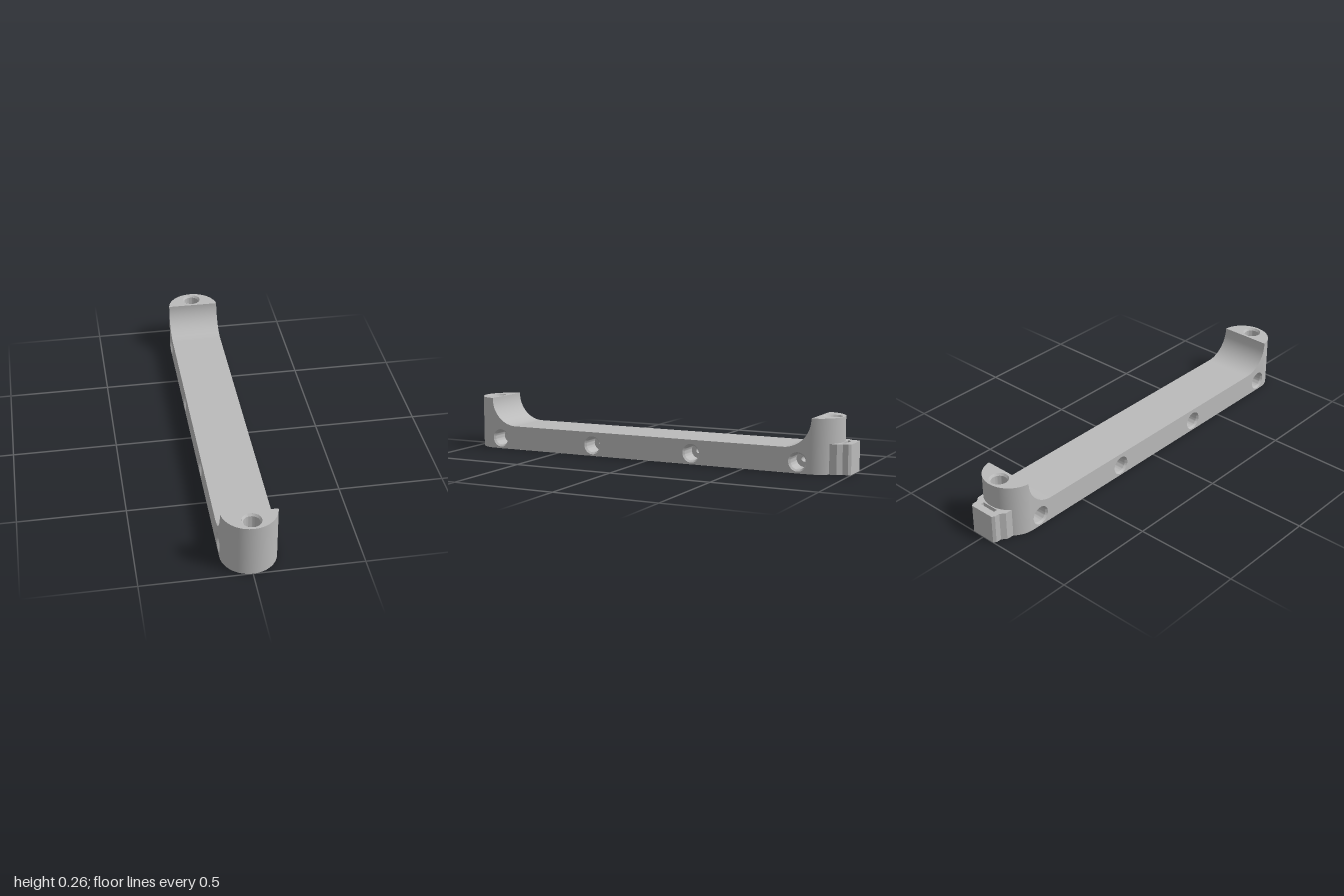
import * as THREE from 'three';
import { toCreasedNormals } from 'three/addons/utils/BufferGeometryUtils.js';

const R = 0.128;                 // half width and end radius
const H = 0.256, FLOOR = 0.118;  // post height and bar height
const FRONT = 0.872, BACK = -0.817; // centres of the rounded ends
const LIP = 0.013;               // post faces sit this far past the end centres
const FILLET = 0.134;
const HOLE = 0.045;
const SCREW = 0.071;             // vertical hole offset from the end centre
const SIDE_HOLES = [0.838, 0.303, -0.233, -0.767];
const SIDE_Y = 0.053;

// half width of the bar at a given z
function halfWidth(z) {
  const d = Math.max(z - FRONT, BACK - z, 0);
  return Math.sqrt(Math.max(R * R - d * d, 0));
}

function circleHole(x, y) {
  const p = new THREE.Path();
  p.absarc(x, y, HOLE, 0, Math.PI * 2, true);
  return p;
}

// [z, y] points over the saddle: back post, fillet, floor, fillet, front post
function saddleProfile() {
  const zb = BACK - LIP, zf = FRONT + LIP, n = 20;
  const back = [[zb, H]], front = [[zf, H]];
  for (let i = 0; i <= n; i++) {
    const a = (i / n) * Math.PI / 2;
    const dz = FILLET * (1 - Math.cos(a)), y = FLOOR + FILLET * (1 - Math.sin(a));
    back.push([zb + dz, y]);
    front.push([zf - dz, y]);
  }
  return back.concat(front.reverse());
}

function saddleGeometry(profile) {
  const pos = [], idx = [];
  profile.forEach(([z, y], i) => {
    const w = halfWidth(z);
    pos.push(-w, y, z, w, y, z);
    if (i) {
      const a = 2 * i - 2;
      idx.push(a, a + 2, a + 1, a + 1, a + 2, a + 3);
    }
  });
  const g = new THREE.BufferGeometry();
  g.setAttribute('position', new THREE.Float32BufferAttribute(pos, 3));
  g.setIndex(idx);
  g.computeVertexNormals();
  return g;
}

// side wall with its four openings, bent slightly where it meets the ends
function wallGeometry(profile, side) {
  const pts = [
    [BACK - LIP, 0], ...profile, [FRONT + LIP, 0], [FRONT, 0], [BACK, 0],
  ].map(([z, y]) => new THREE.Vector2(-side * z, y));
  const shape = new THREE.Shape(pts);
  SIDE_HOLES.forEach(z => shape.holes.push(circleHole(-side * z, SIDE_Y)));
  const g = new THREE.ShapeGeometry(shape, 20);
  g.rotateY(side * Math.PI / 2);
  const p = g.attributes.position;
  for (let i = 0; i < p.count; i++) p.setX(i, side * halfWidth(p.getZ(i)));
  return g;
}

// stepped recess narrowing to a pin hole, opening upward at y = 0
function pocketGeometry() {
  const pts = [[HOLE, 0], [0.037, -0.01], [0.037, -0.09], [0.013, -0.09], [0.013, -R]]
    .map(([x, y]) => new THREE.Vector2(x, y));
  return toCreasedNormals(new THREE.LatheGeometry(pts, 40), 0.5);
}

// plan of the clip, wrapped around the back end, with a strap slot
function clipGeometry() {
  const outline = [[0.09, 0.94], [0.072, 0.962], [0.072, 0.988], [0.062, 1]];
  const pts = outline.map(([x, y]) => new THREE.Vector2(x, y));
  outline.slice().reverse().forEach(([x, y]) => pts.push(new THREE.Vector2(-x, y)));
  const a = Math.asin(0.092 / R);
  for (let i = 0; i <= 16; i++) {
    const t = -a + (2 * a * i) / 16;
    pts.push(new THREE.Vector2(R * Math.sin(t), -BACK + R * Math.cos(t)));
  }
  const shape = new THREE.Shape(pts);
  const w = 0.043;
  shape.holes.push(new THREE.Path([[-w, 0.949], [-w, 0.966], [w, 0.966], [w, 0.949]]
    .map(([x, y]) => new THREE.Vector2(x, y))));
  const g = new THREE.ExtrudeGeometry(shape, { depth: 0.14, bevelEnabled: false });
  g.rotateX(-Math.PI / 2);
  return g;
}

export function createModel() {
  const group = new THREE.Group();
  const grey = new THREE.MeshStandardMaterial({ color: 0xbababa, side: THREE.DoubleSide });
  grey.name = 'light grey';
  const add = (name, geometry) => {
    const m = new THREE.Mesh(geometry, grey);
    m.name = name;
    group.add(m);
    return m;
  };

  const profile = saddleProfile();
  add('saddle', saddleGeometry(profile));
  add('leftWall', wallGeometry(profile, 1));
  add('rightWall', wallGeometry(profile, -1));

  // underside
  const base = new THREE.Shape();
  base.absarc(0, FRONT, R, 0, Math.PI, false);
  base.absarc(0, BACK, R, Math.PI, Math.PI * 2, false);
  base.holes.push(circleHole(0, FRONT + SCREW), circleHole(0, BACK - SCREW));
  add('underside', new THREE.ShapeGeometry(base, 32).rotateX(Math.PI / 2));

  // rounded posts and their vertical pockets
  const pocket = pocketGeometry();
  const half = Math.acos(LIP / R);
  [['front', FRONT, 1], ['back', BACK, -1]].forEach(([name, centre, dir]) => {
    const turn = dir > 0 ? 0 : Math.PI;
    const end = new THREE.CylinderGeometry(R, R, H, 48, 1, true, turn - half, half * 2);
    add(name + 'PostWall', end).position.set(0, H / 2, centre);

    const cap = new THREE.Shape();
    cap.absarc(0, 0, R, -Math.PI / 2 - half, -Math.PI / 2 + half, false);
    cap.holes.push(circleHole(0, -SCREW));
    const top = add(name + 'PostTop', new THREE.ShapeGeometry(cap, 32).rotateX(-Math.PI / 2));
    top.position.set(0, H, centre);
    top.rotation.y = turn;

    const z = centre + dir * SCREW;
    add(name + 'TopPocket', pocket).position.set(0, H, z);
    const low = add(name + 'BottomPocket', pocket);
    low.position.set(0, 0, z);
    low.rotation.x = Math.PI;
  });

  // side pockets
  for (const side of [1, -1]) {
    SIDE_HOLES.forEach(z => {
      const m = add(side > 0 ? 'leftPocket' : 'rightPocket', pocket);
      m.position.set(side * R, SIDE_Y, z);
      m.rotation.z = -side * Math.PI / 2;
    });
  }

  add('strapClip', clipGeometry());
  return group;
}
